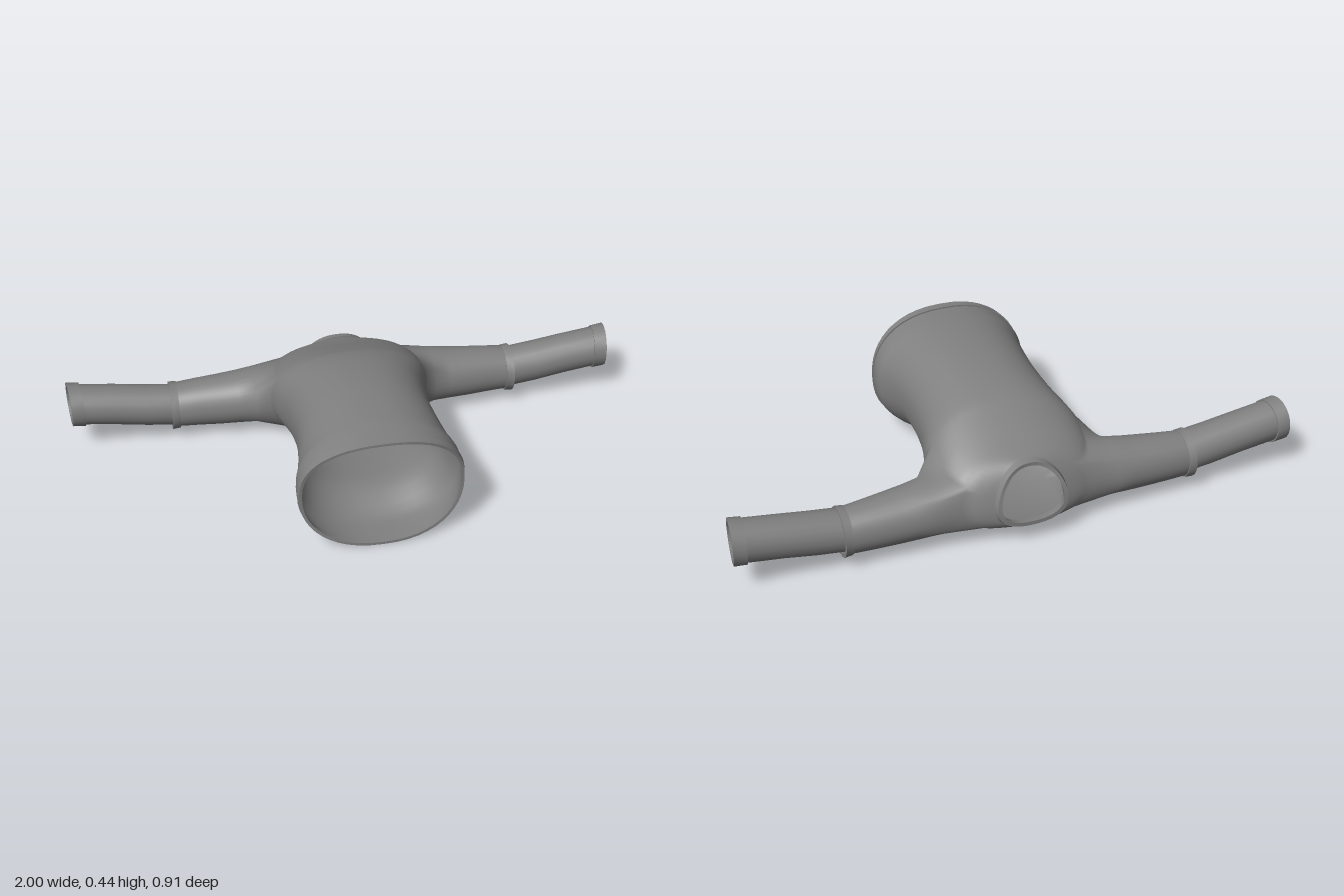
import * as THREE from 'three';
import { mergeGeometries, mergeVertices } from 'three/addons/utils/BufferGeometryUtils.js';

const N = 48; // points around the torso
const STEPS = 3; // rows between two key sections
const cloth = new THREE.MeshStandardMaterial({ color: 0x808080, side: THREE.DoubleSide });
cloth.name = 'grey cloth';

// Torso sections from hem to neck: z at top, z at bottom, side bow, half width, top y, bottom y, taper
const SECTIONS = [
  [0.445, 0.43, -0.03, 0.276, 0.438, 0.008, 0],
  [0.36, 0.36, -0.01, 0.28, 0.441, 0.008, 0],
  [0.30, 0.30, 0, 0.265, 0.442, 0.014, 0],
  [0.19, 0.19, 0, 0.245, 0.44, 0.055, 0],
  [0.08, 0.08, 0, 0.24, 0.434, 0.05, 0],
  [-0.04, -0.04, 0, 0.25, 0.42, 0.034, 0],
  [-0.13, -0.13, 0, 0.272, 0.4, 0.024, 0],
  [-0.18, -0.18, 0, 0.285, 0.38, 0.022, 0],
  [-0.24, -0.25, -0.005, 0.285, 0.353, 0.024, 0],
  [-0.30, -0.33, -0.01, 0.27, 0.325, 0.035, 0],
  [-0.35, -0.41, -0.015, 0.235, 0.305, 0.055, 0.1],
  [-0.385, -0.44, -0.01, 0.12, 0.293, 0.08, 0.2],
];
// Armhole as a patch of the torso grid
const ROW0 = 7 * STEPS, ROW1 = 10 * STEPS, COL0 = -7, COL1 = 3;

const soft = (v) => Math.sign(v) * Math.abs(v) ** 0.87;

// Rounded closed section of the torso
function sectionRing([zTop, zBottom, bow, w, top, bottom, taper]) {
  return Array.from({ length: N }, (_, j) => {
    const a = (j / N) * Math.PI * 2;
    const u = soft(Math.sin(a));
    return new THREE.Vector3(
      w * soft(Math.cos(a)) * (1 - taper * u),
      (top + bottom) / 2 + ((top - bottom) / 2) * u,
      THREE.MathUtils.lerp(zBottom, zTop, (u + 1) / 2) + bow * (1 - u * u));
  });
}

// Smooth in-between section
function sectionAt(row) {
  const i = Math.min(Math.floor(row / STEPS), SECTIONS.length - 2);
  const t = row / STEPS - i;
  const at = (k) => SECTIONS[THREE.MathUtils.clamp(k, 0, SECTIONS.length - 1)];
  return at(i).map((p1, k) => {
    const p0 = at(i - 1)[k], p2 = at(i + 1)[k], p3 = at(i + 2)[k];
    return p1 + 0.5 * t * (p2 - p0 + t * (2 * p0 - 5 * p1 + 4 * p2 - p3 + t * (3 * (p1 - p2) + p3 - p0)));
  });
}

// Skin through closed rings, leaving out quads where skip(row, column) is true
function loft(rings, skip = () => false) {
  const n = rings[0].length;
  const index = [];
  for (let i = 0; i < rings.length - 1; i++) {
    for (let j = 0; j < n; j++) {
      if (skip(i, j)) continue;
      const a = i * n + j, b = i * n + ((j + 1) % n);
      index.push(a, a + n, b, b, a + n, b + n);
    }
  }
  const g = new THREE.BufferGeometry().setFromPoints(rings.flat());
  g.setIndex(index);
  g.computeVertexNormals();
  return g;
}

// Band of closed profile, each face with its own normals so that the rims stay sharp
function band(rings) {
  return mergeGeometries(rings.map((r, i) => loft([r, rings[(i + 1) % rings.length]])));
}

// Round sleeve section facing along x
function sleeveRing(x, cy, cz, ry, rz, angles, tilt = 0) {
  return angles.map((a) => {
    const y = ry * Math.sin(a), z = rz * Math.cos(a);
    return new THREE.Vector3(x - tilt * z, cy + y, cz + z);
  });
}

function mirrored(geometry) {
  const g = geometry.clone().scale(-1, 1, 1);
  g.setIndex(Array.from(g.index.array).reverse());
  g.computeVertexNormals();
  return g;
}

function createModel() {
  const model = new THREE.Group();
  model.name = 'shirt';
  const add = (name, geometry) => {
    const mesh = new THREE.Mesh(geometry, cloth);
    mesh.name = name;
    model.add(mesh);
  };

  // Torso, open at hem, neck and both armholes
  const rows = Array.from({ length: (SECTIONS.length - 1) * STEPS + 1 }, (_, i) => sectionRing(sectionAt(i)));
  const inHole = (j) => {
    const k = j >= N / 2 ? j - N : j;
    return k >= COL0 && k < COL1;
  };
  const torso = loft(rows, (i, j) =>
    i >= ROW0 && i < ROW1 && (inHole(j) || inHole((N / 2 - 1 - j + N) % N)));

  // Armhole edge: along the top, down the back, along the bottom, up the front
  const edge = [];
  const pick = (i, j) => edge.push(rows[i][(j + N) % N]);
  for (let i = ROW0; i < ROW1; i++) pick(i, COL1);
  for (let j = COL1; j > COL0; j--) pick(ROW1, j);
  for (let i = ROW1; i > ROW0; i--) pick(i, COL0);
  for (let j = COL0; j < COL1; j++) pick(ROW0, j);
  const box = new THREE.Box3().setFromPoints(edge);
  const mid = box.getCenter(new THREE.Vector3()), size = box.getSize(new THREE.Vector3());
  const edgeAngles = edge.map((p) => Math.atan2((p.y - mid.y) / size.y, (p.z - mid.z) / size.z));

  // Upper sleeves grow out of the armholes
  const upper = loft([
    edge,
    sleeveRing(0.33, 0.14, -0.306, 0.1, 0.103, edgeAngles),
    sleeveRing(0.39, 0.135, -0.309, 0.095, 0.097, edgeAngles),
    sleeveRing(0.46, 0.131, -0.311, 0.091, 0.091, edgeAngles),
    sleeveRing(0.54, 0.128, -0.314, 0.086, 0.084, edgeAngles),
    sleeveRing(0.62, 0.125, -0.315, 0.08, 0.078, edgeAngles),
  ]);
  const parts = [torso, upper, mirrored(upper)].map((g) => g.deleteAttribute('normal'));
  const body = mergeVertices(mergeGeometries(parts), 1e-4);
  body.computeVertexNormals();
  add('bodyAndUpperSleeves', body);

  // Lower sleeves with elbow and wrist cuffs
  const around = Array.from({ length: 20 }, (_, i) => Math.PI / 2 + (i / 20) * Math.PI * 2);
  const ring = (x, cy, cz, r, tilt) => sleeveRing(x, cy, cz, r, r, around, tilt);
  const sleeveParts = {
    LowerSleeve: loft([ring(0.61, 0.128, -0.311, 0.074), ring(0.72, 0.142, -0.311, 0.074),
      ring(0.83, 0.16, -0.311, 0.073), ring(0.96, 0.178, -0.311, 0.073, 0.1)]),
    ElbowCuff: band([ring(0.605, 0.124, -0.314, 0.084), ring(0.633, 0.124, -0.314, 0.087),
      ring(0.633, 0.124, -0.314, 0.075), ring(0.605, 0.124, -0.314, 0.075)]),
    WristCuff: band([ring(0.945, 0.175, -0.311, 0.078, 0.1), ring(0.99, 0.181, -0.311, 0.079, 0.1),
      ring(0.99, 0.181, -0.311, 0.066, 0.1), ring(0.945, 0.175, -0.311, 0.066, 0.1)]),
  };
  for (const [name, geometry] of Object.entries(sleeveParts)) {
    add('left' + name, geometry);
    add('right' + name, mirrored(geometry));
  }

  // Hem band around the waist opening
  add('hemBand', band([
    [0.453, 0.437, -0.035, 0.279, 0.443, 0.002, 0],
    [0.422, 0.405, -0.022, 0.283, 0.444, 0.003, 0],
    [0.422, 0.405, -0.022, 0.272, 0.434, 0.012, 0],
    [0.453, 0.437, -0.035, 0.269, 0.434, 0.012, 0],
  ].map(sectionRing)));

  // Collar around the neck opening
  add('collar', band([
    [-0.378, -0.428, -0.012, 0.13, 0.298, 0.07, 0.2],
    [-0.402, -0.452, -0.014, 0.122, 0.294, 0.078, 0.2],
    [-0.402, -0.452, -0.014, 0.108, 0.282, 0.092, 0.2],
    [-0.378, -0.428, -0.012, 0.112, 0.284, 0.09, 0.2],
  ].map(sectionRing)));

  return model;
}

export { createModel };
